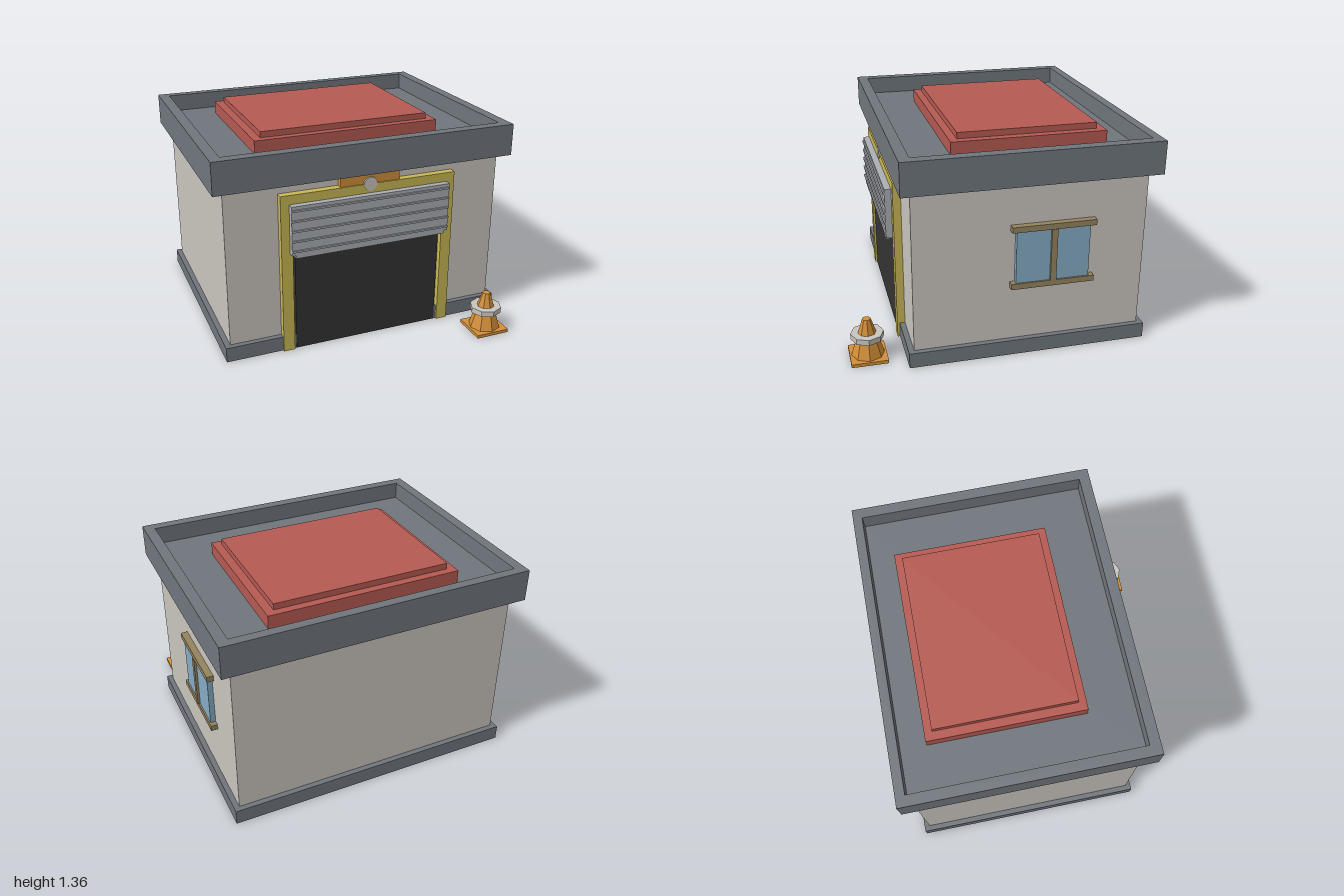
import * as THREE from 'three';

const mat = (name, color) => Object.assign(new THREE.MeshStandardMaterial({ color }), { name });

export function createModel() {
  const slate = mat('slate', 0x70767d);
  const plaster = mat('plaster', 0xc9c5be);
  const yellow = mat('yellow', 0xc9b755);
  const steel = mat('steel', 0xabafb4);
  const dark = mat('dark', 0x333333);
  const red = mat('red', 0xb55a52);
  const orange = mat('orange', 0xd28e38);
  const glass = mat('glass', 0x84abc4);
  const wood = mat('wood', 0x94835f);

  const model = new THREE.Group();
  model.name = 'garage';
  const group = (name) => {
    const g = new THREE.Group();
    g.name = name;
    model.add(g);
    return g;
  };
  const add = (parent, name, geometry, material) => {
    const mesh = new THREE.Mesh(geometry, material);
    mesh.name = name;
    parent.add(mesh);
    return mesh;
  };
  // Box given by its limits on each axis
  const box = (parent, name, material, x0, x1, y0, y1, z0, z1) => {
    const mesh = add(parent, name, new THREE.BoxGeometry(x1 - x0, y1 - y0, z1 - z0), material);
    mesh.position.set((x0 + x1) / 2, (y0 + y1) / 2, (z0 + z1) / 2);
    return mesh;
  };

  // Building
  const building = group('building');
  box(building, 'plinth', slate, -0.965, 0.965, 0, 0.1, -0.925, 0.61);
  box(building, 'walls', plaster, -0.93, 0.93, 0.1, 1.14, -0.89, 0.575);

  // Roof: parapet ring around a sunken floor, with a stepped red panel
  const roof = group('roof');
  const rect = (Type, x, z0, z1) => new Type([
    new THREE.Vector2(-x, -z1), new THREE.Vector2(x, -z1),
    new THREE.Vector2(x, -z0), new THREE.Vector2(-x, -z0),
  ]);
  const ring = rect(THREE.Shape, 1, -0.955, 0.64);
  ring.holes.push(rect(THREE.Path, 0.93, -0.895, 0.57));
  const parapet = new THREE.ExtrudeGeometry(ring, { depth: 0.21, bevelEnabled: false });
  parapet.rotateX(-Math.PI / 2).translate(0, 1.14, 0);
  add(roof, 'parapet', parapet, slate);
  box(roof, 'roofFloor', slate, -0.93, 0.93, 1.14, 1.235, -0.895, 0.57);
  box(roof, 'roofPanelLower', red, -0.635, 0.635, 1.235, 1.32, -0.73, 0.27);
  box(roof, 'roofPanelUpper', red, -0.58, 0.58, 1.32, 1.36, -0.68, 0.22);

  // Doorway with frame and half-raised shutter
  const doorway = group('doorway');
  box(doorway, 'opening', dark, -0.5, 0.5, 0, 1.0, 0.575, 0.612);
  for (const s of [-1, 1]) {
    const post = box(doorway, 'framePost', yellow, 0.515, 0.59, 0, 1.075, 0.575, 0.625);
    post.position.x *= s;
  }
  box(doorway, 'frameLintel', yellow, -0.515, 0.515, 1.0, 1.075, 0.575, 0.625);
  box(doorway, 'shutter', steel, -0.535, 0.535, 0.69, 1.015, 0.612, 0.667);
  box(doorway, 'shutterLip', steel, -0.51, 0.51, 0.67, 0.69, 0.625, 0.667);
  for (let i = 0; i < 5; i++) {
    const y = 0.719 + i * 0.067;
    box(doorway, 'shutterRib', steel, -0.535, 0.535, y - 0.006, y + 0.006, 0.667, 0.676);
  }

  // Plate and round badge over the door
  const sign = group('sign');
  box(sign, 'signPlate', orange, -0.2, 0.2, 1.075, 1.14, 0.575, 0.617);
  const badge = add(sign, 'badge', new THREE.CylinderGeometry(0.046, 0.046, 0.03, 10).toNonIndexed(), plaster);
  badge.geometry.computeVertexNormals();
  badge.rotation.x = Math.PI / 2;
  badge.position.set(0, 1.075, 0.615);

  // Side window
  const win = group('window');
  box(win, 'pane', glass, 0.93, 0.963, 0.5, 0.84, -0.52, -0.055);
  box(win, 'windowHead', wood, 0.93, 0.973, 0.84, 0.877, -0.555, -0.025);
  box(win, 'windowSill', wood, 0.93, 0.973, 0.463, 0.5, -0.555, -0.025);
  box(win, 'mullion', wood, 0.93, 0.978, 0.5, 0.84, -0.308, -0.27);

  // Traffic cone
  const cone = group('trafficCone');
  cone.position.set(0.765, 0, 0.84);
  box(cone, 'coneBase', orange, -0.115, 0.115, 0, 0.022, -0.115, 0.115);
  const faceted = (name, material, top, bottom, y0, y1) => {
    const g = new THREE.CylinderGeometry(top, bottom, y1 - y0, 8).toNonIndexed();
    g.computeVertexNormals();
    add(cone, name, g, material).position.y = (y0 + y1) / 2;
  };
  faceted('coneBody', orange, 0.027, 0.104, 0.022, 0.267);
  faceted('coneBand', plaster, 0.104, 0.104, 0.135, 0.172);

  return model;
}
